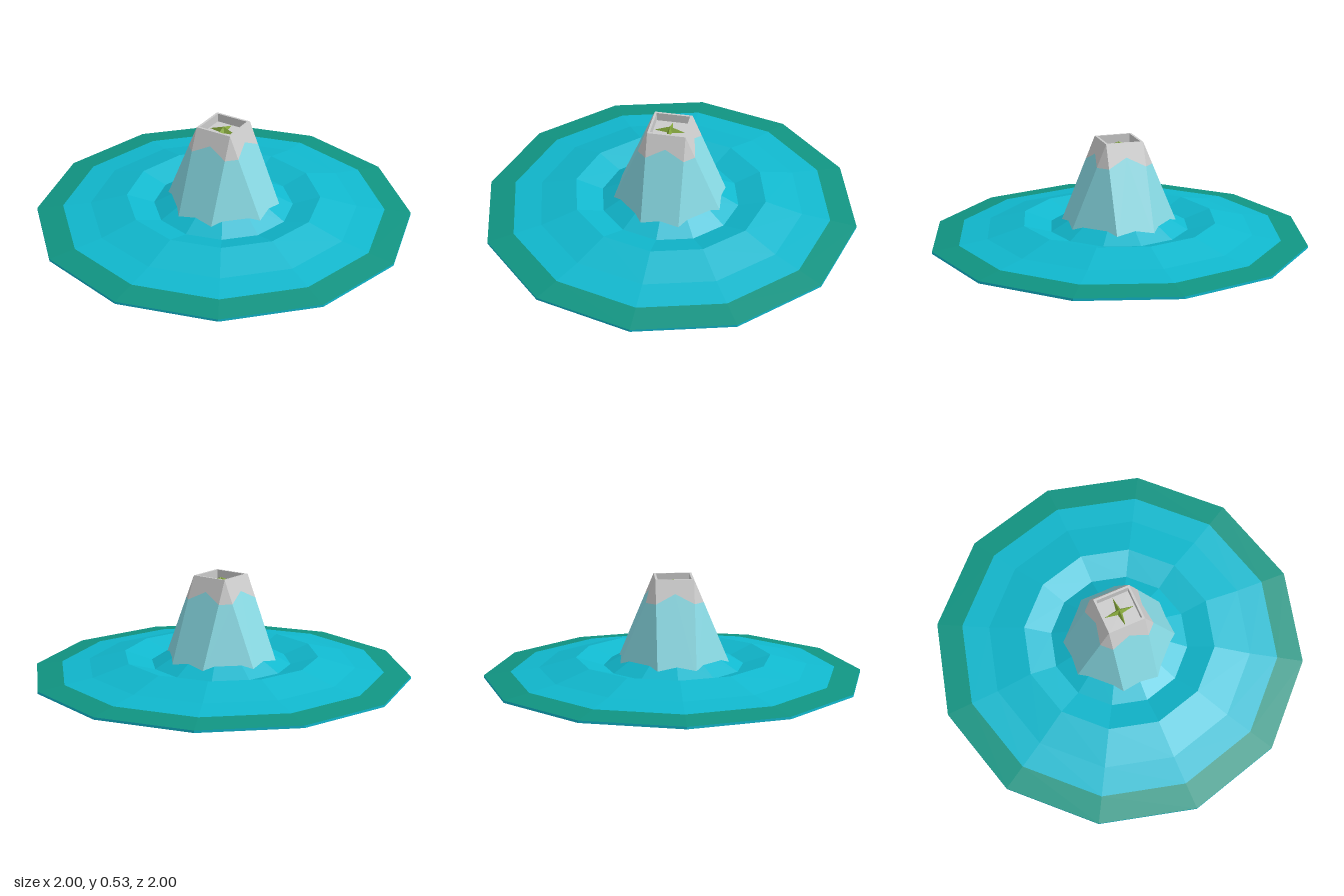
import * as THREE from 'three';

const TOP = 0.53, HALF = 0.1, BOTTOM = 0.05;

function material(color, side = THREE.FrontSide) {
  return new THREE.MeshStandardMaterial({ color, flatShading: true, side });
}

function addMesh(group, name, geometry, mat) {
  const mesh = new THREE.Mesh(geometry, mat);
  mesh.name = name;
  group.add(mesh);
  return mesh;
}

// Twelve-sided band from a profile of [radius, height] pairs
function band(points) {
  return new THREE.LatheGeometry(points.map(p => new THREE.Vector2(...p)), 12);
}

// Builds a shell from convex fans, each repeated on the four sides
function fourSided(fans) {
  const pos = [];
  const up = new THREE.Vector3(0, 1, 0);
  for (let k = 0; k < 4; k++) {
    for (const fan of fans) {
      const p = fan.map(c => new THREE.Vector3(...c).applyAxisAngle(up, k * Math.PI / 2));
      for (let i = 1; i < p.length - 1; i++) {
        for (const v of [p[0], p[i], p[i + 1]]) pos.push(v.x, v.y, v.z);
      }
    }
  }
  const g = new THREE.BufferGeometry();
  g.setAttribute('position', new THREE.Float32BufferAttribute(pos, 3));
  g.computeVertexNormals();
  return g;
}

export function createModel() {
  const model = new THREE.Group();
  const water = material(0x10b8ce);
  const grey = material(0xcccccc);

  // Stepped round base with a moat around the central mound
  addMesh(model, 'baseEdge', band([[0, 0], [1, 0], [1, 0.012]]), water);
  addMesh(model, 'outerRim', band([[1, 0.012], [0.86, 0.03]]), material(0x109482));
  addMesh(model, 'waterSlope', band([[0.86, 0.03], [0.71, 0.05], [0.515, 0.102], [0.37, 0.058]]), water);
  addMesh(model, 'mound', band([[0.37, 0.058], [0.2, 0.15], [0, 0.15]]), water);

  // Tower: square at the top, flaring to eight corners at the foot
  const flare = y => HALF + (TOP - y) * 0.419;
  const wall = (x, y) => [x, y, flare(y)];
  const next = y => [flare(y), y, HALF];
  const EDGE = 0.41, PEAK = 0.46;
  addMesh(model, 'towerLower', fourSided([
    [wall(0, PEAK), wall(-HALF, EDGE), wall(-HALF, BOTTOM), wall(HALF, BOTTOM), wall(HALF, EDGE)],
    [wall(HALF, BOTTOM), next(BOTTOM), next(EDGE), wall(HALF, EDGE)],
  ]), material(0x88dae4));
  addMesh(model, 'towerUpper', fourSided([
    [wall(0, PEAK), wall(HALF, EDGE), wall(HALF, TOP), wall(-HALF, TOP), wall(-HALF, EDGE)],
    [wall(HALF, EDGE), next(EDGE), wall(HALF, TOP)],
  ]), grey);

  // Square rim around the recess, and its floor
  const square = s => [[-s, -s], [s, -s], [s, s], [-s, s]].map(c => new THREE.Vector2(...c));
  const frame = new THREE.Shape(square(HALF));
  frame.holes.push(new THREE.Path(square(0.088)));
  const rim = new THREE.ExtrudeGeometry(frame, { depth: 0.05, bevelEnabled: false });
  rim.rotateX(-Math.PI / 2).translate(0, TOP - 0.05, 0);
  addMesh(model, 'towerRim', rim, grey);
  const floor = new THREE.PlaneGeometry(0.18, 0.18).rotateX(-Math.PI / 2);
  addMesh(model, 'recessFloor', floor, grey).position.y = TOP - 0.045;

  // Four-pointed plant: a low cone with every other corner pulled in
  const star = new THREE.ConeGeometry(0.082, 0.03, 8);
  const p = star.attributes.position;
  for (let i = 0; i < p.count; i++) {
    const x = p.getX(i), z = p.getZ(i);
    if (Math.min(Math.abs(x), Math.abs(z)) > 0.01) {
      p.setXYZ(i, x * 0.22, p.getY(i), z * 0.22);
    }
  }
  star.computeVertexNormals();
  addMesh(model, 'plant', star, material(0x86a83c)).position.y = TOP - 0.029;

  return model;
}
